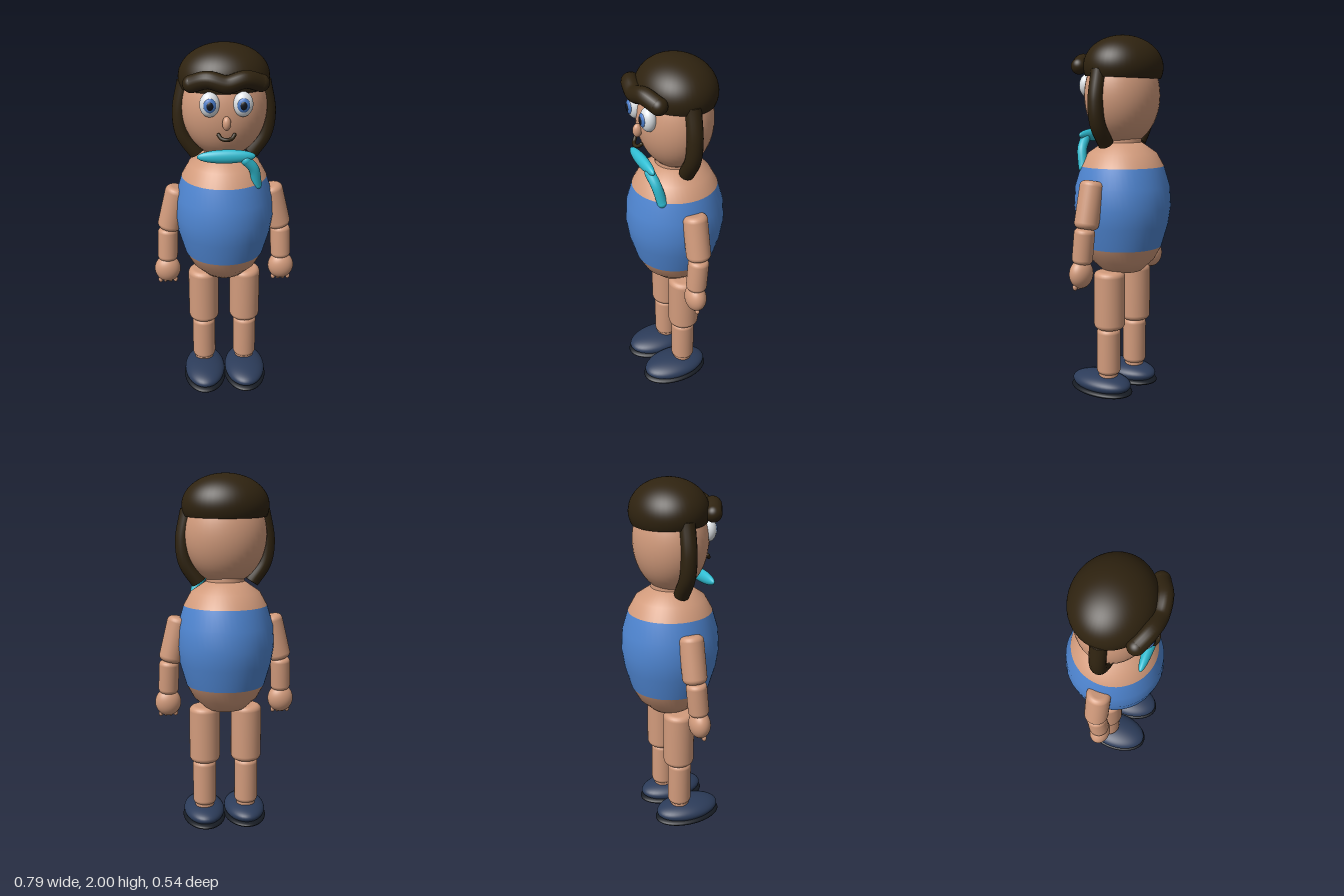
import * as THREE from 'three';

const mat = (name, color, side = THREE.FrontSide) => {
  const m = new THREE.MeshStandardMaterial({ color, side });
  m.name = name;
  return m;
};

export function createModel() {
  const skin = mat('skin', 0xd29b7c), blue = mat('blue shirt', 0x4f86d2);
  const hair = mat('dark brown hair', 0x2f2310, THREE.DoubleSide);
  const cyan = mat('cyan scarf', 0x30bdd2), navy = mat('navy shoe', 0x2c3c5a);
  const dark = mat('dark sole', 0x161b23), white = mat('eye white', 0xe8ecf0);
  const iris = mat('iris blue', 0x4a7cc8), black = mat('pupil', 0x10151e);

  const model = new THREE.Group();
  model.name = 'figure';
  const V = (p) => new THREE.Vector3(...p);

  const add = (name, geometry, material, pos = [0, 0, 0]) => {
    const m = new THREE.Mesh(geometry, material);
    m.name = name;
    m.position.set(...pos);
    model.add(m);
    return m;
  };
  const ball = (name, material, pos, radii) => {
    const m = add(name, new THREE.SphereGeometry(1, 40, 28), material, pos);
    m.scale.set(...radii);
    return m;
  };
  const lathe = (name, material, pts) =>
    add(name, new THREE.LatheGeometry(pts.map((p) => new THREE.Vector2(...p)), 48), material);

  // Cylinder with rounded rims running from a to b
  const limb = (name, material, a, b, r, bevel = 0.03) => {
    const A = V(a), B = V(b), h = A.distanceTo(B) / 2;
    const pts = [new THREE.Vector2(0, -h)];
    for (const s of [-1, 1]) {
      for (let i = 0; i <= 5; i++) {
        const t = (s < 0 ? 5 - i : i) / 5 * Math.PI / 2;
        pts.push(new THREE.Vector2(r - bevel + bevel * Math.cos(t), s * (h - bevel + bevel * Math.sin(t))));
      }
    }
    pts.push(new THREE.Vector2(0, h));
    const m = add(name, new THREE.LatheGeometry(pts, 32), material);
    m.position.copy(A).add(B).multiplyScalar(0.5);
    m.quaternion.setFromUnitVectors(new THREE.Vector3(0, 1, 0), B.sub(A).normalize());
  };

  // Curved tube with closed ends; capDepth 1 is round, near 0 is flat
  const strand = (name, material, pts, r, capDepth = 1) => {
    const curve = new THREE.CatmullRomCurve3(pts.map(V));
    add(name, new THREE.TubeGeometry(curve, 40, r, 16), material);
    for (const t of [0, 1]) {
      const p = curve.getPoint(t);
      const cap = ball(name + 'End', material, p.toArray(), [r, r, r * capDepth]);
      cap.lookAt(p.clone().add(curve.getTangent(t)));
    }
  };

  // Torso: skin hips, shirt, skin shoulders
  lathe('hips', skin, [[0, 0.713], [0.112, 0.715], [0.18, 0.78], [0.22, 0.855]]);
  lathe('shirt', blue, [[0.22, 0.855], [0.256, 0.98], [0.27, 1.08], [0.263, 1.19], [0.23, 1.3]]);
  lathe('shoulders', skin, [[0.23, 1.3], [0.19, 1.372], [0.105, 1.43], [0, 1.432]]);
  limb('neck', skin, [0, 1.38, 0], [0, 1.455, 0], 0.105, 0.01);

  // Head and face
  ball('head', skin, [0, 1.68, 0], [0.225, 0.27, 0.195]);
  ball('nose', skin, [0, 1.645, 0.205], [0.022, 0.036, 0.025]);
  strand('mouth', hair, [[-0.04, 1.586, 0.202], [-0.025, 1.57, 0.215], [0, 1.566, 0.222],
    [0.025, 1.57, 0.215], [0.04, 1.586, 0.202]], 0.01);

  // Hair cap and wavy fringe
  const cap = add('hairCap', new THREE.SphereGeometry(1, 48, 28, 0, Math.PI * 2, 0, 1.9), hair, [0, 1.832, -0.008]);
  cap.scale.set(0.235, 0.168, 0.205);
  cap.rotation.x = -0.05;
  strand('fringe', hair, [[-0.17, 1.835, 0.162], [-0.09, 1.862, 0.2], [0, 1.842, 0.212],
    [0.09, 1.862, 0.2], [0.17, 1.835, 0.162]], 0.044);

  // Scarf knot band and hanging tail
  ball('scarfBand', cyan, [0, 1.466, 0.185], [0.15, 0.036, 0.028]);
  strand('scarfTail', cyan, [[0.1, 1.445, 0.185], [0.143, 1.39, 0.17], [0.162, 1.295, 0.147]], 0.027);

  for (const s of [1, -1]) {
    const side = s > 0 ? 'left' : 'right';

    // Eyes
    const ex = s * 0.083;
    ball(side + 'Eye', white, [ex, 1.735, 0.18], [0.05, 0.063, 0.04]);
    ball(side + 'Iris', iris, [ex, 1.737, 0.211], [0.031, 0.036, 0.014]);
    ball(side + 'Pupil', black, [ex, 1.737, 0.22], [0.018, 0.022, 0.008]);

    // Side lock of hair
    strand(side + 'Lock', hair, [[s * 0.2, 1.81, 0], [s * 0.229, 1.65, 0],
      [s * 0.213, 1.53, 0], [s * 0.145, 1.425, 0]], 0.042, 0.05);

    // Arm, hand and fingertips
    limb(side + 'UpperArm', skin, [s * 0.25, 1.235, 0.005], [s * 0.31, 0.985, 0.005], 0.066);
    limb(side + 'Forearm', skin, [s * 0.314, 0.99, 0.008], [s * 0.321, 0.8, 0.024], 0.056, 0.025);
    ball(side + 'Hand', skin, [s * 0.323, 0.745, 0.028], [0.073, 0.079, 0.057]);
    for (const dx of [-0.042, -0.014, 0.014, 0.042]) {
      ball(side + 'Finger', skin, [s * 0.323 + dx, 0.677, 0.036], [0.013, 0.018, 0.013]);
    }

    // Leg
    limb(side + 'Thigh', skin, [s * 0.119, 0.395, 0], [s * 0.119, 0.725, 0], 0.087);
    limb(side + 'Shin', skin, [s * 0.121, 0.13, 0.005], [s * 0.121, 0.395, 0.005], 0.067, 0.025);
    limb(side + 'Ankle', skin, [s * 0.121, 0.08, 0.008], [s * 0.121, 0.15, 0.008], 0.054, 0.01);

    // Shoe and sole
    ball(side + 'Shoe', navy, [s * 0.12, 0.068, 0.058], [0.118, 0.057, 0.19]);
    ball(side + 'Sole', dark, [s * 0.12, 0.029, 0.058], [0.124, 0.029, 0.199]);
  }
  return model;
}
